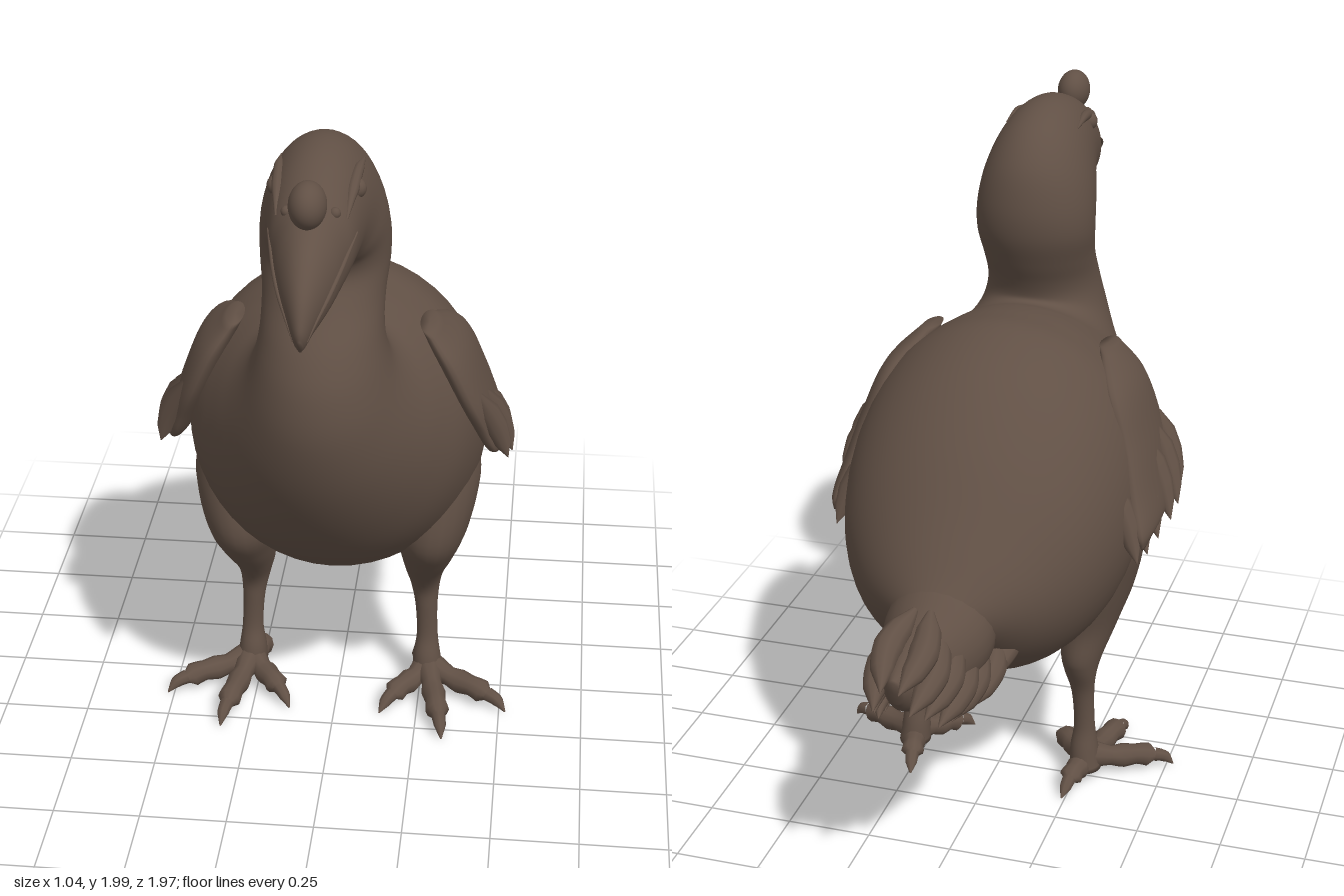
import * as THREE from 'three';

const plumage = new THREE.MeshStandardMaterial({ color: 0x615045 });
plumage.name = 'brownPlumage';

// Section: [zA, yA, zB, yB, halfWidth, x] - an ellipse spanning A to B in the side plane
function makeSurface(sections, side = 1) {
  const curve = (f) => new THREE.CatmullRomCurve3(sections.map(f), false, 'catmullrom', 0.5);
  const a = curve((s) => new THREE.Vector3(s[4], s[1], s[0]));
  const b = curve((s) => new THREE.Vector3((s[5] || 0) * side, s[3], s[2]));
  return (t, angle, lift = 0) => {
    const p = a.getPoint(t), q = b.getPoint(t);
    const s = Math.sin(angle) / 2, w = Math.max(p.x, 0.002) + lift;
    return new THREE.Vector3(
      q.x + w * Math.cos(angle),
      (p.y + q.y) / 2 + (p.y - q.y) * s,
      (p.z + q.z) / 2 + (p.z - q.z) * s);
  };
}

function loft(surface, rings, sides) {
  const pos = [], index = [];
  for (let i = 0; i <= rings; i++)
    for (let j = 0; j < sides; j++)
      pos.push(...surface(i / rings, (j / sides) * Math.PI * 2).toArray());
  for (let i = 0; i < rings; i++)
    for (let j = 0; j < sides; j++) {
      const a = i * sides + j, b = i * sides + (j + 1) % sides;
      index.push(a, b, a + sides, b, b + sides, a + sides);
    }
  // close both ends
  for (const end of [0, 1]) {
    const centre = surface(end, 0).add(surface(end, Math.PI)).multiplyScalar(0.5);
    const c = pos.length / 3, base = end * rings * sides;
    pos.push(...centre.toArray());
    for (let j = 0; j < sides; j++) {
      const p = base + j, q = base + (j + 1) % sides;
      if (end) index.push(c, p, q); else index.push(c, q, p);
    }
  }
  const g = new THREE.BufferGeometry();
  g.setAttribute('position', new THREE.Float32BufferAttribute(pos, 3));
  g.setIndex(index);
  g.computeVertexNormals();
  return g;
}

// Tube through points with a radius that changes along its length
function limb(points, radii, steps = 20, sides = 10) {
  const path = new THREE.CatmullRomCurve3(points.map((p) => new THREE.Vector3(...p)));
  const g = new THREE.TubeGeometry(path, steps, 1, sides);
  const pos = g.attributes.position, v = new THREE.Vector3();
  for (let i = 0; i <= steps; i++) {
    const c = path.getPointAt(i / steps), f = (i / steps) * (radii.length - 1);
    const k = Math.min(Math.floor(f), radii.length - 2);
    const r = THREE.MathUtils.lerp(radii[k], radii[k + 1], f - k);
    for (let j = 0; j <= sides; j++) {
      const n = i * (sides + 1) + j;
      v.fromBufferAttribute(pos, n).sub(c).multiplyScalar(r).add(c);
      pos.setXYZ(n, v.x, v.y, v.z);
    }
  }
  return g;
}

// Tail root, body, neck, head and beak in one sweep
const BODY = [
  [-0.66, 0.86, -0.60, 0.74, 0.05], [-0.60, 0.92, -0.52, 0.69, 0.15],
  [-0.50, 1.05, -0.40, 0.575, 0.27], [-0.35, 1.24, -0.25, 0.49, 0.37],
  [-0.18, 1.385, -0.05, 0.46, 0.425], [0.0, 1.455, 0.15, 0.52, 0.43],
  [0.13, 1.455, 0.36, 0.66, 0.39], [0.22, 1.445, 0.52, 0.83, 0.32],
  [0.265, 1.435, 0.64, 1.02, 0.255], [0.285, 1.44, 0.70, 1.20, 0.205],
  [0.285, 1.46, 0.70, 1.34, 0.178], [0.27, 1.50, 0.66, 1.45, 0.165],
  [0.24, 1.56, 0.59, 1.55, 0.165], [0.205, 1.65, 0.55, 1.62, 0.174],
  [0.20, 1.75, 0.56, 1.665, 0.174], [0.23, 1.86, 0.60, 1.685, 0.165],
  [0.31, 1.95, 0.63, 1.685, 0.15], [0.43, 1.995, 0.66, 1.68, 0.135],
  [0.55, 1.995, 0.70, 1.665, 0.122], [0.66, 1.96, 0.74, 1.66, 0.11],
  [0.73, 1.92, 0.79, 1.655, 0.095], [0.81, 1.885, 0.85, 1.65, 0.078],
  [0.89, 1.84, 0.89, 1.645, 0.058], [0.955, 1.77, 0.92, 1.64, 0.036],
  [0.985, 1.70, 0.95, 1.632, 0.018], [0.985, 1.66, 0.96, 1.628, 0.006],
];
const LEG = [
  [0.20, 1.0, -0.18, 1.0, 0.09, 0.29], [0.25, 0.80, -0.16, 0.85, 0.125, 0.295],
  [0.26, 0.64, -0.13, 0.70, 0.115, 0.28], [0.18, 0.53, -0.09, 0.56, 0.085, 0.27],
  [0.09, 0.44, -0.09, 0.46, 0.062, 0.26], [0.04, 0.37, -0.075, 0.41, 0.047, 0.26],
  [0.03, 0.30, -0.035, 0.32, 0.034, 0.265], [0.03, 0.20, -0.025, 0.20, 0.032, 0.27],
  [0.05, 0.13, -0.04, 0.12, 0.042, 0.27], [0.06, 0.05, -0.05, 0.05, 0.048, 0.275],
];
const WING = [
  [0.28, 1.36, 0.15, 1.37, 0.025, 0.27], [0.31, 1.27, 0.0, 1.29, 0.05, 0.33],
  [0.30, 1.15, -0.06, 1.15, 0.05, 0.385], [0.26, 1.05, -0.11, 1.02, 0.045, 0.425],
  [0.21, 0.96, -0.15, 0.93, 0.034, 0.457], [0.10, 0.93, -0.14, 0.885, 0.012, 0.465],
];
const TAIL = [
  [-0.42, 0.62, -0.45, 1.0, 0.13], [-0.55, 0.62, -0.58, 0.925, 0.155],
  [-0.68, 0.62, -0.70, 0.895, 0.125], [-0.78, 0.66, -0.80, 0.875, 0.085],
  [-0.88, 0.70, -0.90, 0.85, 0.05], [-0.93, 0.75, -0.96, 0.83, 0.02],
];

export function createModel() {
  const model = new THREE.Group();
  const add = (name, geometry, parent = model) => {
    const mesh = new THREE.Mesh(geometry, plumage);
    mesh.name = name;
    parent.add(mesh);
    return mesh;
  };

  const body = makeSurface(BODY);
  const at = (section, angle, lift) => body(section / (BODY.length - 1), angle, lift).toArray();
  add('bodyNeckHeadAndBeak', loft(body, 125, 48));

  const knob = add('beakKnob', new THREE.SphereGeometry(1, 28, 20));
  knob.scale.set(0.048, 0.06, 0.066);
  knob.position.set(0, 1.942, 0.787);

  add('tailCore', loft(makeSurface(TAIL), 30, 24));

  for (const side of [1, -1]) {
    const label = side > 0 ? 'left' : 'right';
    const mirror = (p) => [p[0] * side, p[1], p[2]];

    // Face details follow the head surface
    const eye = add(label + 'Eye', new THREE.SphereGeometry(0.027, 16, 12));
    eye.position.set(0.1 * side, 1.908, 0.585);
    add(label + 'Brow', limb([[16.6, 0.7], [17.6, 0.66], [18.6, 0.62], [19.4, 0.55]]
      .map(([s, a]) => mirror(at(s, a))), [0.002, 0.014, 0.016, 0.003]));
    add(label + 'MouthRidge', limb([[18.8, 0.1], [20, 0.1], [21.5, 0], [23, -0.1], [24, -0.2]]
      .map(([s, a]) => mirror(at(s, a))), [0.003, 0.007, 0.007, 0.002]));
    const nostril = add(label + 'Nostril', new THREE.SphereGeometry(0.015, 12, 8));
    nostril.position.set(0.06 * side, 1.895, 0.72);

    // Wing with ragged trailing feathers
    const wing = new THREE.Group();
    wing.name = label + 'Wing';
    model.add(wing);
    add('wingBlade', loft(makeSurface(WING, side), 30, 24), wing);
    for (const [x, y, z] of [[0.5, 0.935, 0.19], [0.51, 0.92, 0.12], [0.505, 0.9, 0.05],
      [0.485, 0.87, -0.02], [0.47, 0.85, -0.09], [0.455, 0.845, -0.15]]) {
      add('wingFeather', limb([[x - 0.09, y + 0.22, z + 0.05], [x - 0.035, y + 0.1, z + 0.02],
        [x, y, z]].map(mirror), [0.012, 0.035, 0.036, 0.026, 0.001]), wing);
    }

    // Leg and foot
    const leg = new THREE.Group();
    leg.name = label + 'Leg';
    model.add(leg);
    add('thighAndShank', loft(makeSurface(LEG, side), 45, 24), leg);
    for (const [x, z] of [[0.48, 0.12], [0.325, 0.255], [0.165, 0.15], [0.25, -0.105]]) {
      const dx = x - 0.275, dz = z - 0.01, n = Math.hypot(dx, dz);
      const along = (f, y) => mirror([0.275 + dx * f, y, 0.01 + dz * f]);
      add('toe', limb([along(0, 0.09), along(0.4, 0.07), along(0.75, 0.066), along(1, 0.05)],
        [0.045, 0.038, 0.03, 0.037, 0.031, 0.036, 0.002], 24), leg);
      const tip = 1 + 0.045 / n;
      add('claw', limb([along(0.92, 0.06), along(1.06, 0.05), along(tip, 0.018)],
        [0.022, 0.018, 0.002], 10, 8), leg);
    }

    // Fanned tail plumes
    for (const [x, y, z] of [[0.025, 0.81, -0.985], [0.05, 0.745, -0.975], [0.07, 0.70, -0.91],
      [0.085, 0.64, -0.84], [0.095, 0.615, -0.76], [0.115, 0.605, -0.67], [0.13, 0.635, -0.56]]) {
      add(label + 'TailPlume', limb([[x * 0.9, y + 0.1, z + 0.28], [x + 0.025, y + 0.055, z + 0.13],
        [x, y, z]].map(mirror), [0.01, 0.035, 0.042, 0.032, 0.001]));
    }
  }
  return model;
}
